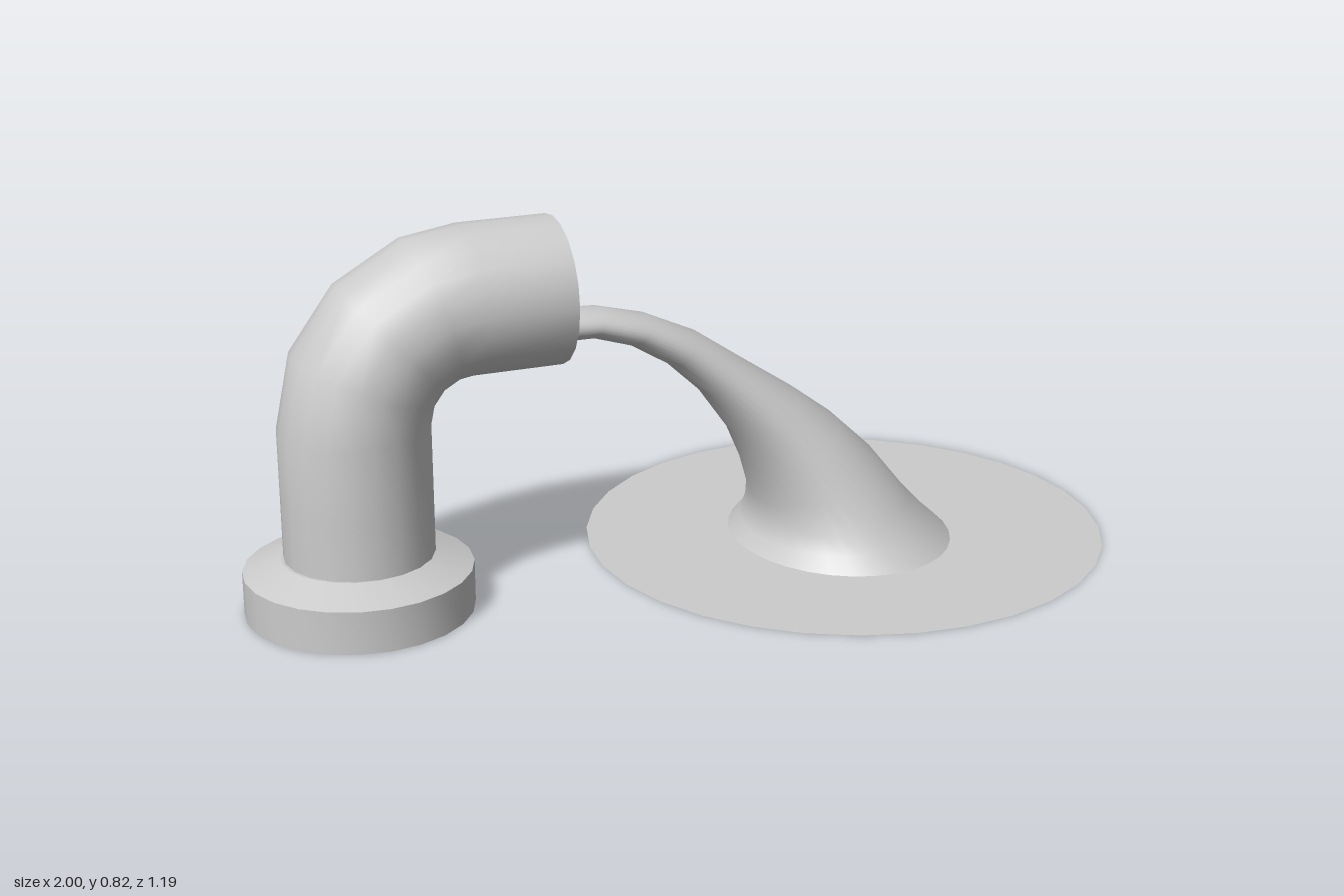
import * as THREE from 'three';
import { toCreasedNormals } from 'three/addons/utils/BufferGeometryUtils.js';

const grey = new THREE.MeshStandardMaterial({ color: 0xcccccc });
const greyThin = new THREE.MeshStandardMaterial({ color: 0xcccccc, side: THREE.DoubleSide });

// Skin over elliptical sections; each is [topX, topY, bottomX, bottomY, halfWidthZ].
function loft(sections, sides, inward = false) {
  const pos = [], index = [];
  sections.forEach(([tx, ty, bx, by, w], i) => {
    for (let j = 0; j < sides; j++) {
      const a = (j / sides) * Math.PI * 2, c = Math.cos(a);
      pos.push((tx + bx) / 2 + ((tx - bx) / 2) * c, (ty + by) / 2 + ((ty - by) / 2) * c, w * Math.sin(a));
      if (i === 0) continue;
      const k = (j + 1) % sides, p = (i - 1) * sides, q = i * sides;
      if (inward) index.push(p + j, q + j, p + k, p + k, q + j, q + k);
      else index.push(p + j, p + k, q + j, p + k, q + k, q + j);
    }
  });
  const g = new THREE.BufferGeometry();
  g.setAttribute('position', new THREE.Float32BufferAttribute(pos, 3));
  g.setIndex(index);
  g.computeVertexNormals();
  return g;
}

// Pipe centre line: straight up, quarter bend, straight out along +x.
function pipeSections(r) {
  const section = (x, y, a) => {
    const dx = -Math.cos(a) * r, dy = Math.sin(a) * r;
    return [x + dx, y + dy, x - dx, y - dy, r];
  };
  const bend = [0, 24, 48, 72, 90].map((deg) => {
    const a = THREE.MathUtils.degToRad(deg);
    return section(-0.5 - 0.25 * Math.cos(a), 0.41 + 0.25 * Math.sin(a), a);
  });
  return [section(-0.75, 0.1, 0), section(-0.75, 0.25, 0), ...bend, section(-0.3, 0.66, Math.PI / 2)];
}

export function createModel() {
  const model = new THREE.Group();
  const add = (name, geometry, material = grey, parent = model) => {
    const mesh = new THREE.Mesh(geometry, material);
    mesh.name = name;
    parent.add(mesh);
    return mesh;
  };

  // Round base flange with a sloping top edge
  const profile = [[0, 0], [0.247, 0], [0.247, 0.095], [0.165, 0.125], [0, 0.125]]
    .map(([x, y]) => new THREE.Vector2(x, y));
  add('baseFlange', toCreasedNormals(new THREE.LatheGeometry(profile, 24), 0.35)).position.x = -0.753;

  // Hollow elbow pipe with a flat rim at its mouth
  const pipe = new THREE.Group();
  pipe.name = 'elbowPipe';
  model.add(pipe);
  add('pipeOuterWall', loft(pipeSections(0.162), 20), grey, pipe);
  add('pipeInnerWall', loft(pipeSections(0.122), 20, true), grey, pipe);
  const rim = add('pipeRim', new THREE.RingGeometry(0.122, 0.162, 20), grey, pipe);
  rim.rotation.y = Math.PI / 2;
  rim.rotation.order = 'YXZ';
  rim.rotation.z = Math.PI / 2;
  rim.position.set(-0.3, 0.66, 0);

  // Water pouring out, falling in an arc and flaring as it lands
  add('waterStream', loft([
    [-0.44, 0.577, -0.44, 0.575, 0.002],
    [-0.43, 0.61, -0.43, 0.542, 0.05],
    [-0.3, 0.614, -0.3, 0.543, 0.055],
    [-0.2, 0.608, -0.22, 0.543, 0.058],
    [-0.09, 0.58, -0.13, 0.515, 0.063],
    [0.03, 0.525, -0.04, 0.46, 0.07],
    [0.14, 0.45, 0.04, 0.385, 0.09],
    [0.26, 0.37, 0.115, 0.28, 0.12],
    [0.36, 0.295, 0.155, 0.19, 0.155],
    [0.45, 0.21, 0.18, 0.11, 0.19],
    [0.53, 0.11, 0.178, 0.06, 0.225],
    [0.585, 0.05, 0.165, 0.03, 0.255],
    [0.64, 0, 0.14, 0, 0.29],
  ], 32), greyThin);

  // Flat puddle on the ground
  const puddle = add('puddle', new THREE.CircleGeometry(0.597, 32), greyThin);
  puddle.rotation.x = -Math.PI / 2;
  puddle.position.set(0.402, 0, 0);

  return model;
}
